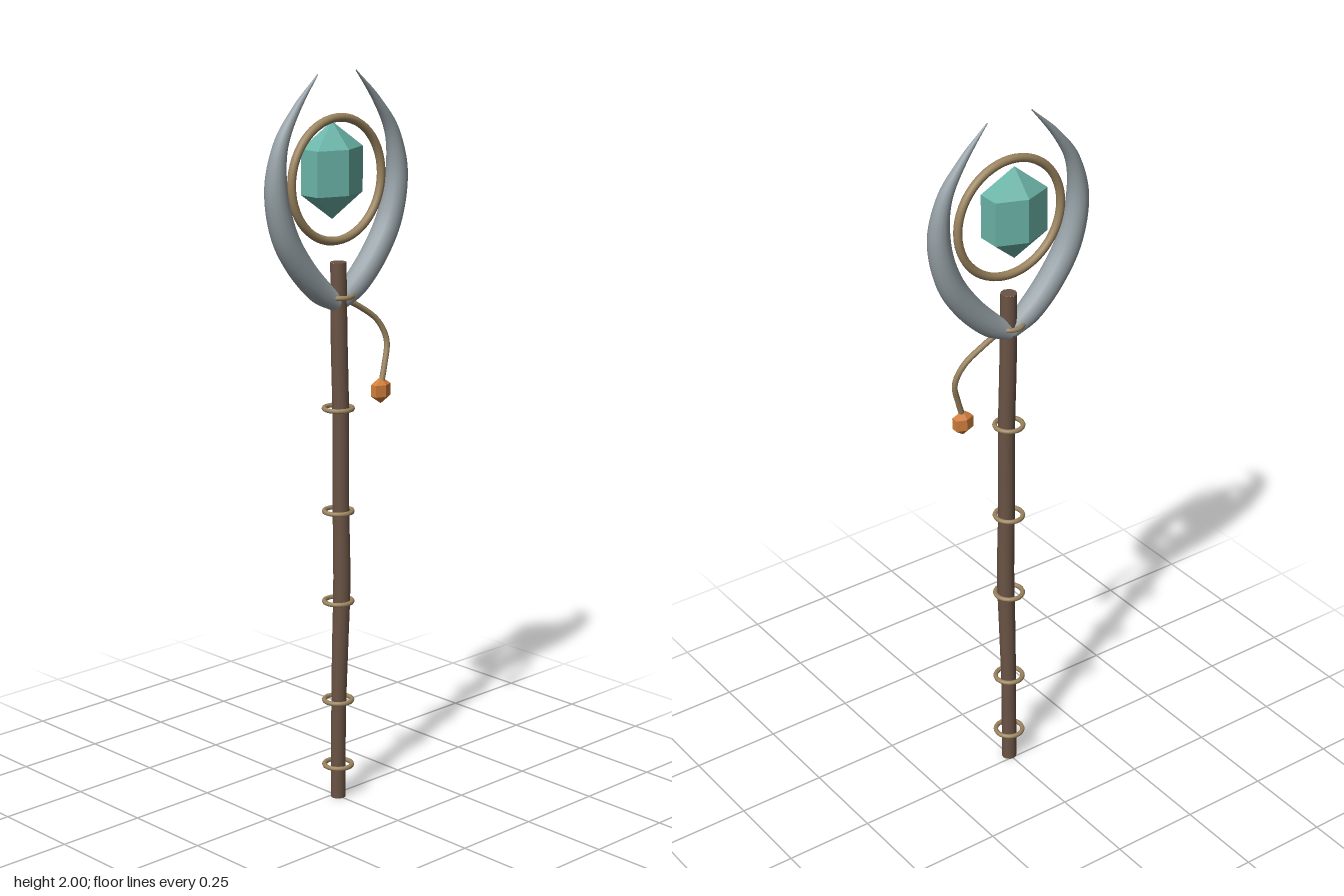
import * as THREE from 'three';

const mat = (color, extra = {}) => new THREE.MeshStandardMaterial({ color, ...extra });

const WOOD = mat(0x6b5445);
const METAL = mat(0x98a3a8, { side: THREE.DoubleSide });
const BRASS = mat(0x9c8560);
const TEAL = mat(0x6cb5a9, { flatShading: true });
const AMBER = mat(0xd4803c, { flatShading: true });

function add(parent, name, geometry, material) {
  const mesh = new THREE.Mesh(geometry, material);
  mesh.name = name;
  parent.add(mesh);
  return mesh;
}

// Tube through stations [x, y, z, radius], with the radius varying smoothly
function taperedTube(stations, segments, sides) {
  const path = new THREE.CatmullRomCurve3(stations.map(([x, y, z]) => new THREE.Vector3(x, y, z)));
  const radii = new THREE.CatmullRomCurve3(stations.map((s, i) => new THREE.Vector3(i, s[3], 0)), false, 'catmullrom', 0.4);
  const geo = new THREE.TubeGeometry(path, segments, 1, sides);
  const pos = geo.attributes.position;
  const v = new THREE.Vector3();
  for (let i = 0; i <= segments; i++) {
    const u = i / segments;
    const centre = path.getPointAt(u);
    const r = Math.max(0.001, radii.getPoint(path.getUtoTmapping(u)).y);
    for (let j = 0; j <= sides; j++) {
      const k = i * (sides + 1) + j;
      v.fromBufferAttribute(pos, k).sub(centre).multiplyScalar(r).add(centre);
      pos.setXYZ(k, v.x, v.y, v.z);
    }
  }
  return geo;
}

// Six-sided pointed crystal: short prism with a pyramid at each end
function crystal(halfWidth, halfDepth, halfHeight, halfWaist) {
  const profile = [[0, -halfHeight], [1, -halfWaist], [1, halfWaist], [0, halfHeight]];
  const geo = new THREE.LatheGeometry(profile.map(([x, y]) => new THREE.Vector2(x, y)), 6);
  return geo.scale(halfWidth / Math.cos(Math.PI / 6), 1, halfDepth);
}

export function createModel() {
  const staff = new THREE.Group();
  staff.name = 'staff';

  // Slightly crooked wooden shaft with closed ends
  const shaft = [
    [0, 0, 0.016, 0.021], [0, 0.25, 0.018, 0.021], [0.002, 0.45, 0.022, 0.023],
    [0.005, 0.62, 0.025, 0.024], [0.003, 0.85, 0.023, 0.023], [0.004, 1.1, 0.021, 0.023],
    [0.001, 1.3, 0.018, 0.023], [0, 1.505, 0.016, 0.022],
  ];
  add(staff, 'shaft', taperedTube(shaft, 40, 12), WOOD);
  for (const [end, turn] of [[shaft[0], 1], [shaft[shaft.length - 1], -1]]) {
    const cap = add(staff, 'shaftEnd', new THREE.CircleGeometry(end[3], 12), WOOD);
    cap.position.set(end[0], end[1], end[2]);
    cap.rotation.x = turn * Math.PI / 2;
  }

  // Thin bands around the shaft
  for (const y of [0.095, 0.285, 0.57, 0.825, 1.11, 1.415]) {
    const band = add(staff, 'shaftBand', new THREE.TorusGeometry(0.038, 0.0065, 8, 28), BRASS);
    band.position.set(0, y, 0.016);
    band.rotation.x = Math.PI / 2;
  }

  // Pair of curved horns tapering to points
  for (const side of [-1, 1]) {
    const horn = [
      [0, 1.392, 0.014, 0.022], [0.065, 1.437, 0.013, 0.034], [0.135, 1.51, 0.013, 0.036],
      [0.19, 1.6, 0.013, 0.035], [0.217, 1.72, 0.013, 0.03], [0.199, 1.83, 0.012, 0.02],
      [0.143, 1.918, 0.011, 0.011], [0.068, 2.0, 0.011, 0.0015],
    ].map(([x, y, z, r]) => [side * x, y, z, r]);
    add(staff, side > 0 ? 'leftHorn' : 'rightHorn', taperedTube(horn, 48, 14), METAL);
  }

  // Ring floating between the horns, with the crystal inside it
  add(staff, 'crystalRing', new THREE.TorusGeometry(0.161, 0.0115, 10, 56), BRASS)
    .position.set(0, 1.722, 0.011);
  add(staff, 'crystal', crystal(0.081, 0.063, 0.128, 0.06), TEAL)
    .position.set(0, 1.744, -0.008);

  // Hanging cord ending in a small faceted bead
  const cord = [
    [0.02, 1.405, 0.016, 0.008], [0.08, 1.372, 0.021, 0.008], [0.133, 1.33, 0.03, 0.008],
    [0.156, 1.275, 0.04, 0.008], [0.14, 1.21, 0.048, 0.008], [0.125, 1.165, 0.052, 0.008],
  ];
  add(staff, 'cord', taperedTube(cord, 28, 8), BRASS);
  add(staff, 'bead', crystal(0.027, 0.02, 0.037, 0.016), AMBER)
    .position.set(0.125, 1.145, 0.05);

  return staff;
}
